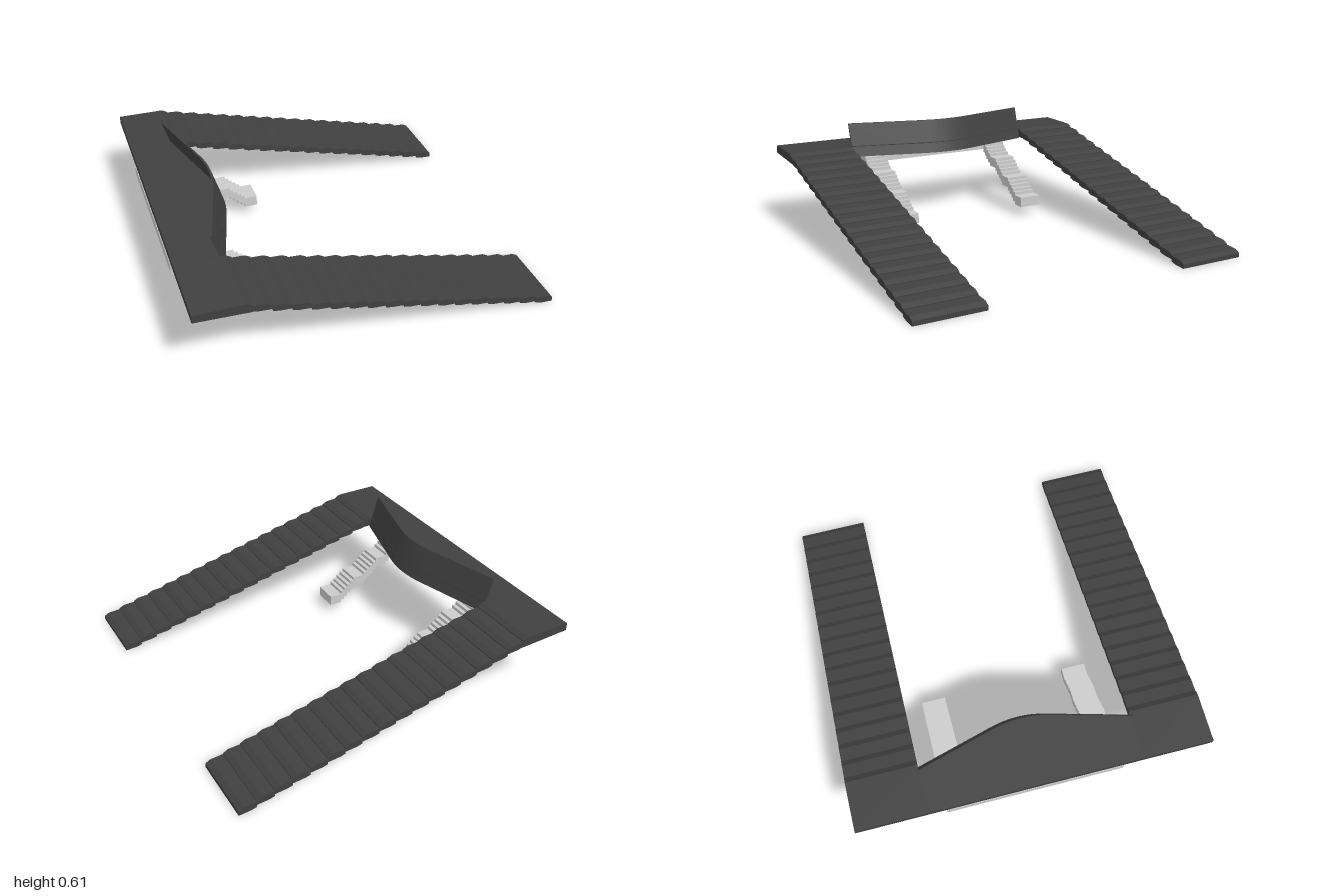
import * as THREE from 'three';

const dark = new THREE.MeshStandardMaterial({ color: 0x404040, flatShading: true });
const grey = new THREE.MeshStandardMaterial({ color: 0xcccccc, flatShading: true });

const shapeOf = (pts) => new THREE.Shape(pts.map(([a, b]) => new THREE.Vector2(a, b)));
const extrude = (pts, depth) =>
  new THREE.ExtrudeGeometry(shapeOf(pts), { depth, bevelEnabled: false });

// Side profile in x,y swept from z0 to z1
function sweepZ(pts, z0, z1) {
  return extrude(pts, z1 - z0).translate(0, 0, z0);
}

// Plan outline in x,z (symmetric in z) raised from y0 to y1
function raise(pts, y0, y1) {
  return extrude(pts, y1 - y0).rotateX(-Math.PI / 2).translate(0, y0, 0);
}

// Plan curve of the bowed panel: rounded nose with straight wings
function bow(z) {
  const a = Math.abs(z), r = 0.16, slope = 0.27;
  return a < r ? -(slope / (2 * r)) * a * a : -(slope * r) / 2 - slope * (a - r);
}
const bowZ = [-0.6];
for (let i = -6; i <= 6; i++) bowZ.push((i / 6) * 0.16);
bowZ.push(0.6);
const bowLine = (x0) => bowZ.map((z) => [x0 + bow(z), z]);

export function createModel() {
  const model = new THREE.Group();
  const add = (parent, name, geometry, material) => {
    const mesh = new THREE.Mesh(geometry, material);
    mesh.name = name;
    parent.add(mesh);
  };

  // Upper deck with a bowed front edge
  add(model, 'deckCentre',
    raise([[-1, -0.6], ...bowLine(-0.608), [-1, 0.6]], 0.43, 0.475), dark);

  // Bowed parapet leaning back as it rises
  const panel = raise([...bowLine(-0.59), ...bowLine(-0.602).reverse()], 0.41, 0.61);
  const p = panel.attributes.position;
  for (let i = 0; i < p.count; i++) p.setX(i, p.getX(i) - (p.getY(i) - 0.41) * 0.3);
  panel.computeVertexNormals();
  add(model, 'parapet', panel, dark);

  for (const side of [-1, 1]) {
    const z0 = side < 0 ? -1 : 0.6;
    const wing = new THREE.Group();
    wing.name = side > 0 ? 'frontStair' : 'backStair';
    model.add(wing);

    // Deck end
    add(wing, 'deckEnd', sweepZ([[-1, 0.43], [-0.7, 0.415], [-0.7, 0.455],
      [-0.73, 0.472], [-1, 0.475]], z0, z0 + 0.4), dark);

    // Broad treads with chamfered noses
    for (let i = 0; i < 17; i++) {
      const x = -0.7 + i * 0.1, top = 0.45 - i * 0.02531;
      add(wing, 'tread', sweepZ([[x, top - 0.032], [x + 0.03, top - 0.04],
        [x + 0.1, top - 0.045], [x + 0.1, top - 0.02], [x + 0.07, top - 0.004],
        [x, top]], z0, z0 + 0.4), dark);
    }

    // Narrow stair: three flights, each ending in a landing
    const upper = [], lower = [];
    let x = -0.8, top = 0.405;
    for (let flight = 0; flight < 3; flight++) {
      for (let s = 0; s < 5; s++) {
        const run = s === 4 ? 0.0767 : 0.0225;
        top -= 0.019;
        upper.push([x, top], [x + run, top]);
        lower.push([x, top - 0.062], [x + run, top - 0.062]);
        x += run;
      }
    }
    const s0 = side < 0 ? -0.5 : 0.36;
    add(model, side > 0 ? 'narrowStairFront' : 'narrowStairBack',
      sweepZ([...lower, ...upper.reverse()], s0, s0 + 0.14), grey);
  }

  // Grey landing beneath the deck
  add(model, 'lowerLanding',
    new THREE.BoxGeometry(0.2, 0.062, 1).translate(-0.9, 0.376, 0), grey);

  return model;
}
